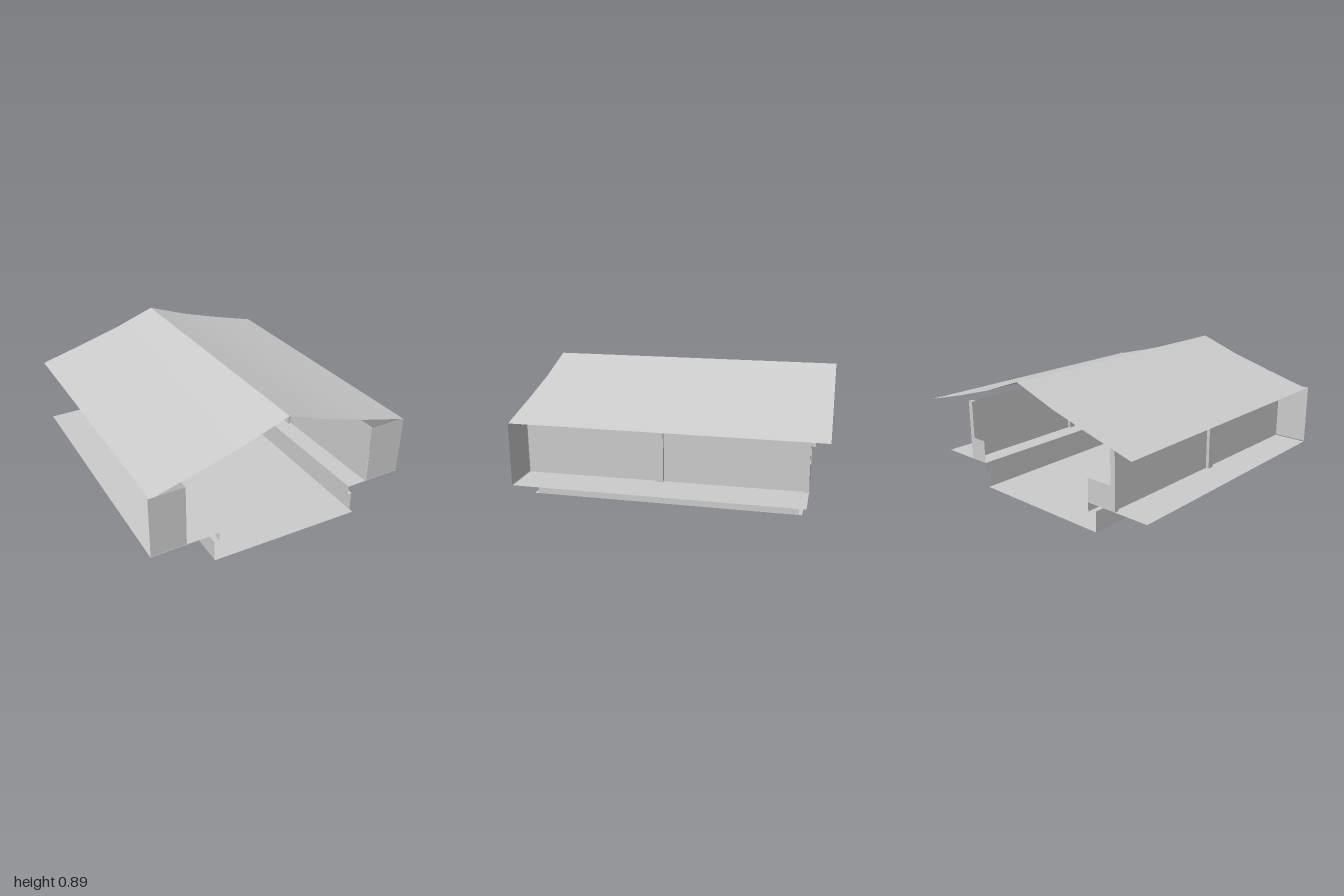
import * as THREE from 'three';

const grey = new THREE.MeshStandardMaterial({ color: 0xcccccc, side: THREE.DoubleSide });
grey.name = 'plainGrey';

// Open sheet spanned between two matching edge paths
function sheet(name, edgeA, edgeB) {
  const pos = [], index = [], n = edgeA.length;
  for (const p of [...edgeA, ...edgeB]) pos.push(...p);
  for (let i = 0; i < n - 1; i++) index.push(i, n + i, i + 1, i + 1, n + i, n + i + 1);
  const geo = new THREE.BufferGeometry();
  geo.setAttribute('position', new THREE.Float32BufferAttribute(pos, 3));
  geo.setIndex(index);
  geo.computeVertexNormals();
  const mesh = new THREE.Mesh(geo, grey);
  mesh.name = name;
  return mesh;
}

// Upright sheet from plan point a to plan point b ([x, z]), between two heights
const upright = (name, a, b, y0, y1) => sheet(name,
  [[a[0], y0, a[1]], [b[0], y0, b[1]]],
  [[a[0], y1, a[1]], [b[0], y1, b[1]]]);

// Level sheet through four plan points at height y
const level = (name, y, a, b, c, d) => sheet(name,
  [[a[0], y, a[1]], [b[0], y, b[1]]],
  [[d[0], y, d[1]], [c[0], y, c[1]]]);

function post(name, x, z, w, d) {
  const mesh = new THREE.Mesh(new THREE.BoxGeometry(w, 0.42, d), grey);
  mesh.name = name;
  mesh.position.set(x, 0.41, z);
  return mesh;
}

const FRONT = 0.97, BACK = -0.88, LEDGE = 0.2, LIP = 0.14, EAVE = 0.62;

// Plan positions of each long side; distances are outward from the centre line
const SIDES = [
  { name: 'left', s: 1, outer: 0.923, wallFront: 0.66, wallBack: 0.645, lip: 0.52, pit: 0.55,
    pitFront: 0.99, pitBack: -0.82, eave: 0.925 },
  { name: 'right', s: -1, outer: 0.925, wallFront: 0.69, wallBack: 0.665, lip: 0.465, pit: 0.5,
    pitFront: 0.975, pitBack: -0.85, eave: 0.91 },
];

function buildSide(p) {
  const g = new THREE.Group();
  g.name = p.name + 'Side';
  const s = p.s;
  const X = { outer: s * p.outer, wf: s * p.wallFront, wb: s * p.wallBack, lip: s * p.lip, pit: s * p.pit };

  // Slightly sagging roof slope
  const profile = [[0, 0.89], [0.3, 0.782], [0.6, 0.695], [p.eave, 0.61]];
  g.add(sheet('roofSlope',
    profile.map(([x, y]) => [s * x, y, FRONT]),
    profile.map(([x, y]) => [s * x, y, -1])));

  // Long wall and the wing panel closing its front end
  g.add(upright('longWall', [X.wf, FRONT], [X.wb, BACK], LEDGE, EAVE));
  g.add(upright('frontWingPanel', [X.wf, FRONT + 0.003], [X.outer, FRONT + 0.003], LEDGE + 0.005, EAVE));

  // Ledge with its lip, step and the lower wall down to the floor
  g.add(level('ledge', LEDGE, [X.lip, FRONT], [X.outer, FRONT], [X.outer, BACK], [X.lip, BACK]));
  g.add(upright('ledgeLip', [X.lip, FRONT], [X.lip, BACK], LIP, LEDGE));
  g.add(level('ledgeStep', LIP, [X.lip, FRONT], [X.pit, FRONT], [X.pit, p.pitBack], [X.lip, p.pitBack]));
  g.add(upright('lowerWall', [X.pit, FRONT], [X.pit, p.pitBack], 0, LIP));

  // Low panel at the back end of the ledge
  g.add(upright('backLowPanel', [X.lip, BACK], [X.wb, BACK], LEDGE, 0.36));

  // Wall posts
  g.add(post('middlePost', (X.wf + X.wb) / 2, 0.07, 0.045, 0.05));
  g.add(post('backPost', X.wb, -0.865, 0.035, 0.03));
  return g;
}

export function createModel() {
  const model = new THREE.Group();
  model.name = 'openGabledShelter';
  for (const p of SIDES) model.add(buildSide(p));

  // Sunken floor between the lower walls
  const [l, r] = SIDES;
  model.add(level('floor', 0, [-r.pit, r.pitFront], [l.pit, l.pitFront + 0.01], [l.pit, l.pitBack - 0.02], [-r.pit, r.pitBack]));
  return model;
}
